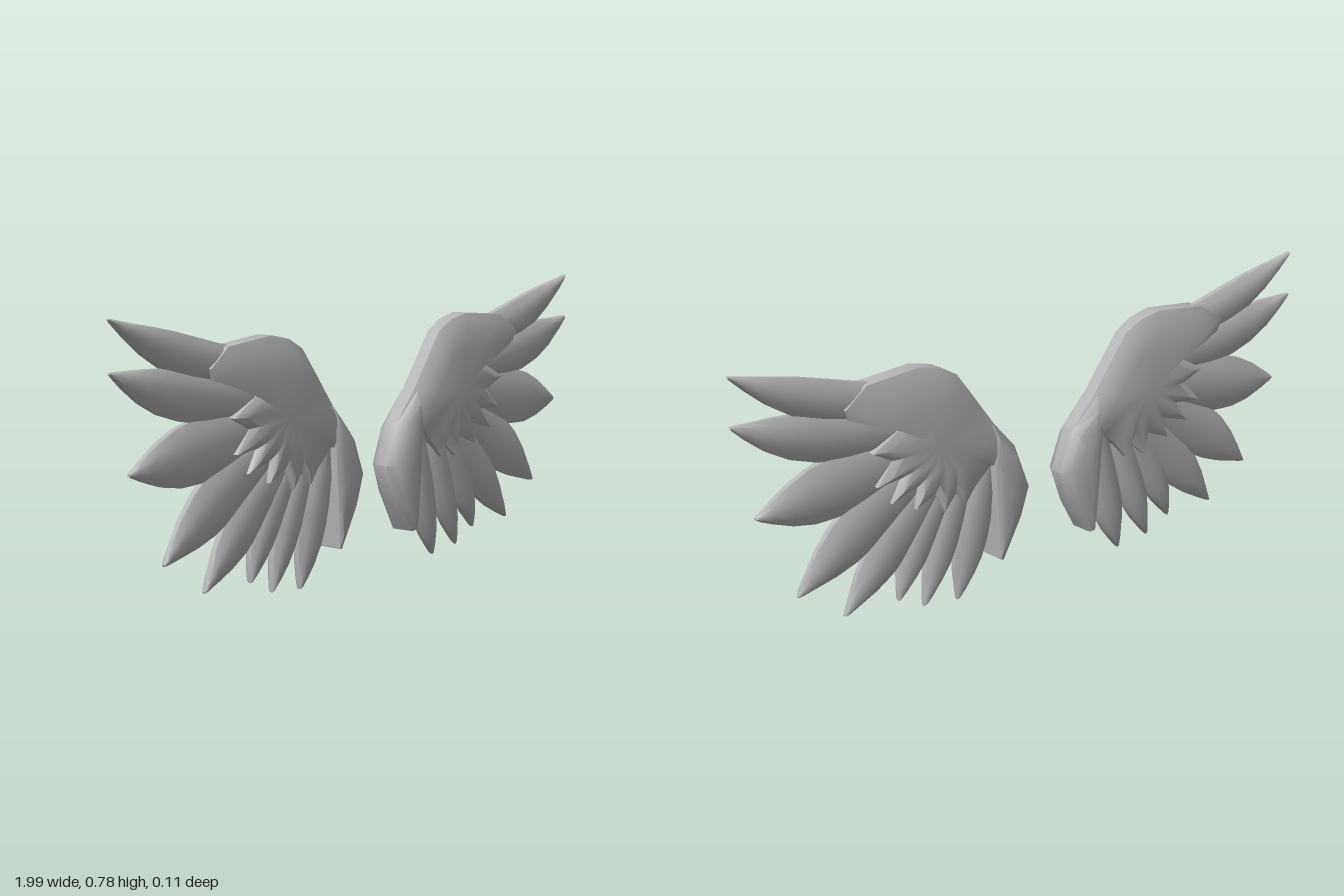
import * as THREE from 'three';
import { toCreasedNormals } from 'three/addons/utils/BufferGeometryUtils.js';

// Skin a list of closed rings of equal length, closing both ends with fans.
function loft(rings, side) {
  const n = rings[0].length, pos = [], index = [];
  rings.forEach(r => r.forEach(p => pos.push(p[0] * side, p[1], p[2])));
  const tri = (a, b, c) => (side > 0 ? index.push(a, b, c) : index.push(a, c, b));
  for (let i = 0; i < rings.length - 1; i++) {
    for (let j = 0; j < n; j++) {
      const k = (j + 1) % n, a = i * n, b = a + n;
      tri(a + j, a + k, b + k);
      tri(a + j, b + k, b + j);
    }
  }
  const cap = (ring, start, last) => {
    const c = [0, 1, 2].map(d => ring.reduce((s, p) => s + p[d], 0) / n);
    const m = pos.length / 3;
    pos.push(c[0] * side, c[1], c[2]);
    for (let j = 0; j < n; j++) {
      const k = (j + 1) % n;
      if (last) tri(start + j, start + k, m);
      else tri(start + k, start + j, m);
    }
  };
  cap(rings[0], 0, false);
  cap(rings[rings.length - 1], (rings.length - 1) * n, true);
  const g = new THREE.BufferGeometry();
  g.setAttribute('position', new THREE.Float32BufferAttribute(pos, 3));
  g.setIndex(index);
  return toCreasedNormals(g, 0.75);
}

// Pointed blade along a curve: [t, width, thickness] stations.
const STATIONS = [
  [0, 0.7, 0.9], [0.2, 0.9, 1], [0.4, 1, 1], [0.55, 1, 1], [0.68, 0.9, 0.95],
  [0.8, 0.66, 0.85], [0.91, 0.34, 0.6], [0.98, 0.12, 0.35], [1, 0.04, 0.2],
];
function feather([root, mid, tip, halfWidth], side) {
  const v = p => new THREE.Vector2(p[0], p[1]);
  // control point chosen so that the curve passes through mid
  const ctrl = v(mid).multiplyScalar(2).sub(v(root).add(v(tip)).multiplyScalar(0.5));
  const curve = new THREE.QuadraticBezierCurve(v(root), ctrl, v(tip));
  const rings = STATIONS.map(([t, w, h]) => {
    const p = curve.getPoint(t), e = curve.getTangent(t);
    return Array.from({ length: 10 }, (_, i) => {
      const a = (i / 10) * Math.PI * 2 + Math.PI / 10;
      const u = Math.cos(a) * halfWidth * w * 1.04;
      return [p.x - e.y * u, p.y + e.x * u, Math.sin(a) * 0.029 * h];
    });
  });
  return loft(rings, side);
}

// Bevelled plate: outline points are [x, y, half thickness at the rim].
function plate(outline, centre, depth, side) {
  const ring = (s, zOf) => outline.map(p => [
    centre[0] + (p[0] - centre[0]) * s, centre[1] + (p[1] - centre[1]) * s, zOf(p)]);
  const shelf = p => (p[2] + depth * 2) / 3;
  return loft([
    ring(0.5, () => -depth), ring(0.82, p => -shelf(p)), ring(1, p => -p[2]),
    ring(1, p => p[2]), ring(0.82, shelf), ring(0.5, () => depth),
  ], side);
}

// root, middle, tip, half width
const FEATHERS = [
  [[0.38, 0.62], [0.69, 0.665], [0.995, 0.79], 0.056],
  [[0.38, 0.55], [0.71, 0.575], [0.995, 0.66], 0.066],
  [[0.36, 0.5], [0.67, 0.44], [0.935, 0.405], 0.085],
  [[0.34, 0.47], [0.59, 0.325], [0.82, 0.16], 0.078],
  [[0.32, 0.45], [0.5, 0.255], [0.675, 0.065], 0.066],
  [[0.3, 0.43], [0.42, 0.235], [0.5, 0.06], 0.05],
  [[0.27, 0.42], [0.34, 0.215], [0.415, 0.02], 0.05],
  [[0.2, 0.4], [0.245, 0.2], [0.3, 0.008], 0.055],
];

// Layer of short feathers over the wing arm, with a jagged lower rim
const COVERTS = [
  [0.675, 0.645, 0.036], [0.6, 0.695, 0.026], [0.43, 0.71, 0.024], [0.36, 0.695, 0.022],
  [0.305, 0.665, 0.02], [0.24, 0.58, 0.02], [0.18, 0.5, 0.02], [0.107, 0.42, 0.02],
  [0.15, 0.38, 0.04], [0.21, 0.39, 0.04], [0.26, 0.34, 0.036], [0.295, 0.3, 0.04],
  [0.32, 0.335, 0.03], [0.365, 0.295, 0.04], [0.39, 0.35, 0.03], [0.46, 0.325, 0.04],
  [0.445, 0.385, 0.03], [0.54, 0.36, 0.04], [0.5, 0.42, 0.03], [0.585, 0.415, 0.04],
  [0.53, 0.475, 0.03], [0.595, 0.51, 0.04], [0.48, 0.57, 0.03], [0.57, 0.59, 0.034],
  [0.66, 0.613, 0.036],
];

// Broad innermost feather that wraps the shoulder
const SHOULDER = [
  [0.19, 0.5, 0.03], [0.107, 0.42, 0.02], [0.06, 0.3, 0.018], [0.096, 0.2, 0.022],
  [0.16, 0.1, 0.035], [0.175, 0.105, 0.042], [0.186, 0.25, 0.046], [0.198, 0.41, 0.046],
];

export function createModel() {
  const model = new THREE.Group();
  model.name = 'wings';
  const grey = new THREE.MeshStandardMaterial({ color: 0xb4b4b4 });
  grey.name = 'stone grey';

  for (const side of [1, -1]) {
    const wing = new THREE.Group();
    wing.name = side > 0 ? 'leftWing' : 'rightWing';
    const add = (name, geometry) => {
      const mesh = new THREE.Mesh(geometry, grey);
      mesh.name = name;
      wing.add(mesh);
    };
    FEATHERS.forEach((f, i) => add('flightFeather' + (i + 1), feather(f, side)));
    add('coverts', plate(COVERTS, [0.36, 0.5], 0.05, side));
    add('shoulderFeather', plate(SHOULDER, [0.145, 0.3], 0.055, side));
    model.add(wing);
  }
  return model;
}
